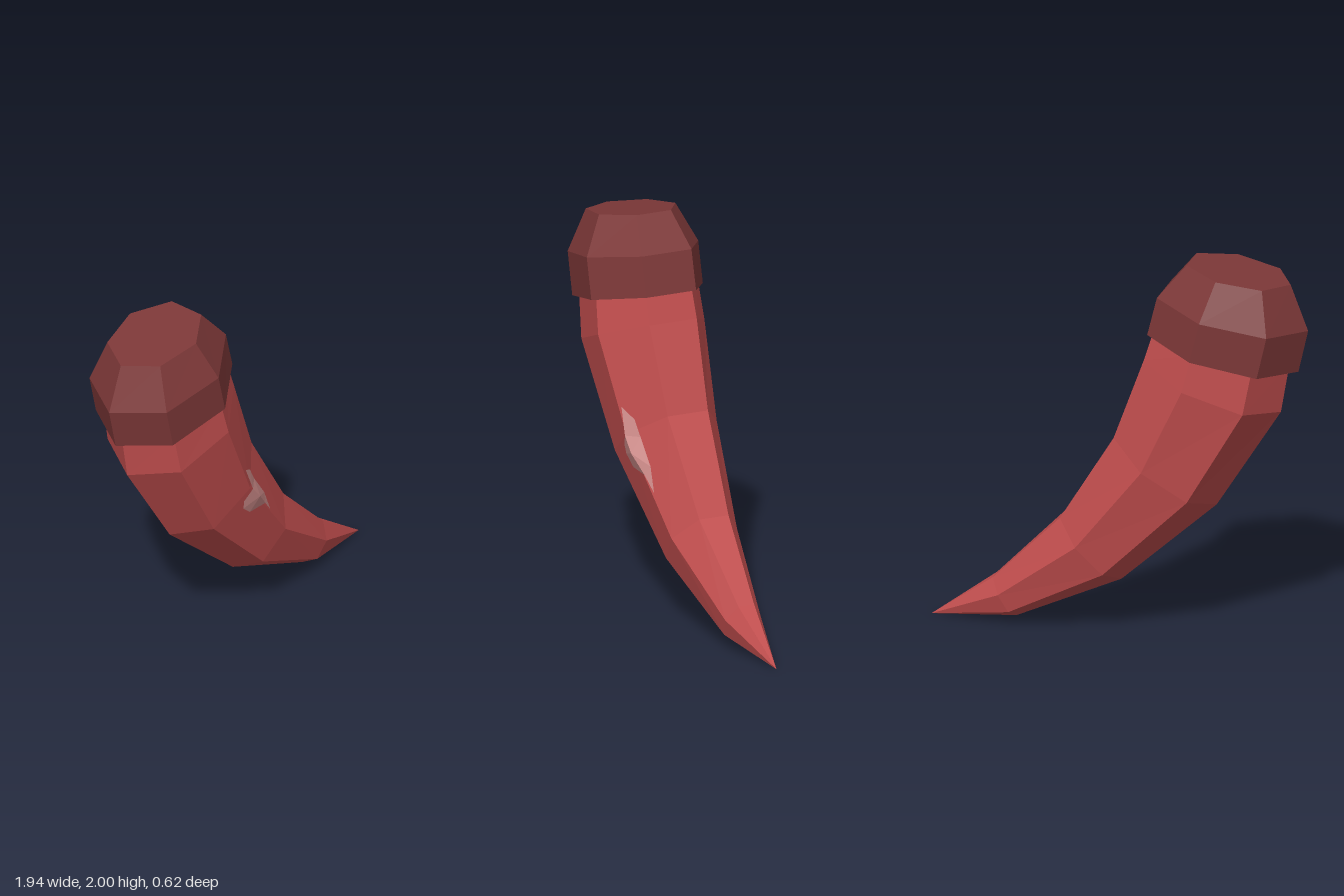
import * as THREE from 'three';

const SIDES = 7;

// Tilted seven-sided oval: corner at (ax, ay), opposite flat edge through (bx, by), half-depth rz
function ring([ax, ay, bx, by, rz]) {
  const span = 1 + Math.cos(Math.PI / SIDES);
  return Array.from({ length: SIDES }, (_, i) => {
    const a = (i / SIDES) * Math.PI * 2;
    const t = (1 - Math.cos(a)) / span;
    return [ax + (bx - ax) * t, ay + (by - ay) * t, rz * Math.sin(a)];
  });
}

function facets(triangles, material, name) {
  const geometry = new THREE.BufferGeometry();
  geometry.setAttribute('position', new THREE.Float32BufferAttribute(triangles.flat(2), 3));
  geometry.computeVertexNormals();
  const mesh = new THREE.Mesh(geometry, material);
  mesh.name = name;
  return mesh;
}

// Skin rings listed from bottom to top and close both ends
function loft(sections, material, name) {
  const rings = sections.map(ring);
  const tris = [];
  for (let k = 0; k < rings.length - 1; k++) {
    for (let i = 0; i < SIDES; i++) {
      const j = (i + 1) % SIDES;
      const a = rings[k], b = rings[k + 1];
      tris.push([a[i], a[j], b[j]], [a[i], b[j], b[i]]);
    }
  }
  const low = rings[0], top = rings[rings.length - 1];
  for (let i = 1; i < SIDES - 1; i++) {
    tris.push([low[0], low[i + 1], low[i]], [top[0], top[i], top[i + 1]]);
  }
  return facets(tris, material, name);
}

export function createModel() {
  const hornRed = new THREE.MeshStandardMaterial({ color: 0xc24e4e, flatShading: true });
  hornRed.name = 'horn red';
  const capMaroon = new THREE.MeshStandardMaterial({ color: 0x7d3838, flatShading: true });
  capMaroon.name = 'cap maroon';
  const palePink = new THREE.MeshStandardMaterial({ color: 0xcf8c8a, flatShading: true, side: THREE.DoubleSide });
  palePink.name = 'pale pink';

  const group = new THREE.Group();
  group.name = 'curvedHorn';

  // Curved body, from the tip up into the cap
  group.add(loft([
    [0.965, 0.003, 0.966, 0.004, 0.0005],
    [0.53, 0.035, 0.64, 0.24, 0.1],
    [-0.01, 0.28, 0.285, 0.6, 0.187],
    [-0.5, 0.72, 0, 1.06, 0.258],
    [-0.83, 1.24, -0.16, 1.49, 0.303],
    [-0.875, 1.5, -0.21, 1.65, 0.29],
  ], hornRed, 'horn'));

  // Faceted cap with a tapered top
  group.add(loft([
    [-0.92, 1.46, -0.18, 1.63, 0.318],
    [-0.97, 1.68, -0.23, 1.83, 0.318],
    [-0.88, 1.915, -0.37, 2.0, 0.218],
  ], capMaroon, 'cap'));

  // Scar: a raised crest with a flank on each side
  const crest = [[-0.22, 1.07, 0.257], [-0.17, 0.935, 0.263], [-0.11, 0.86, 0.26], [-0.03, 0.765, 0.226], [0.035, 0.685, 0.205]];
  const upper = [crest[0], [-0.145, 1.02, 0.222], [-0.1, 0.94, 0.212], [-0.01, 0.81, 0.202], crest[4]];
  const lower = [[-0.17, 0.935, 0.263], [-0.215, 0.875, 0.243], [-0.21, 0.825, 0.234], [-0.15, 0.772, 0.226], [-0.03, 0.765, 0.226]];
  const scar = [];
  for (let i = 0; i < 4; i++) {
    scar.push([crest[i], crest[i + 1], upper[i + 1]], [crest[i], upper[i + 1], upper[i]]);
    scar.push([crest[2], lower[i], lower[i + 1]]);
  }
  group.add(facets(scar, palePink, 'scar'));

  return group;
}
